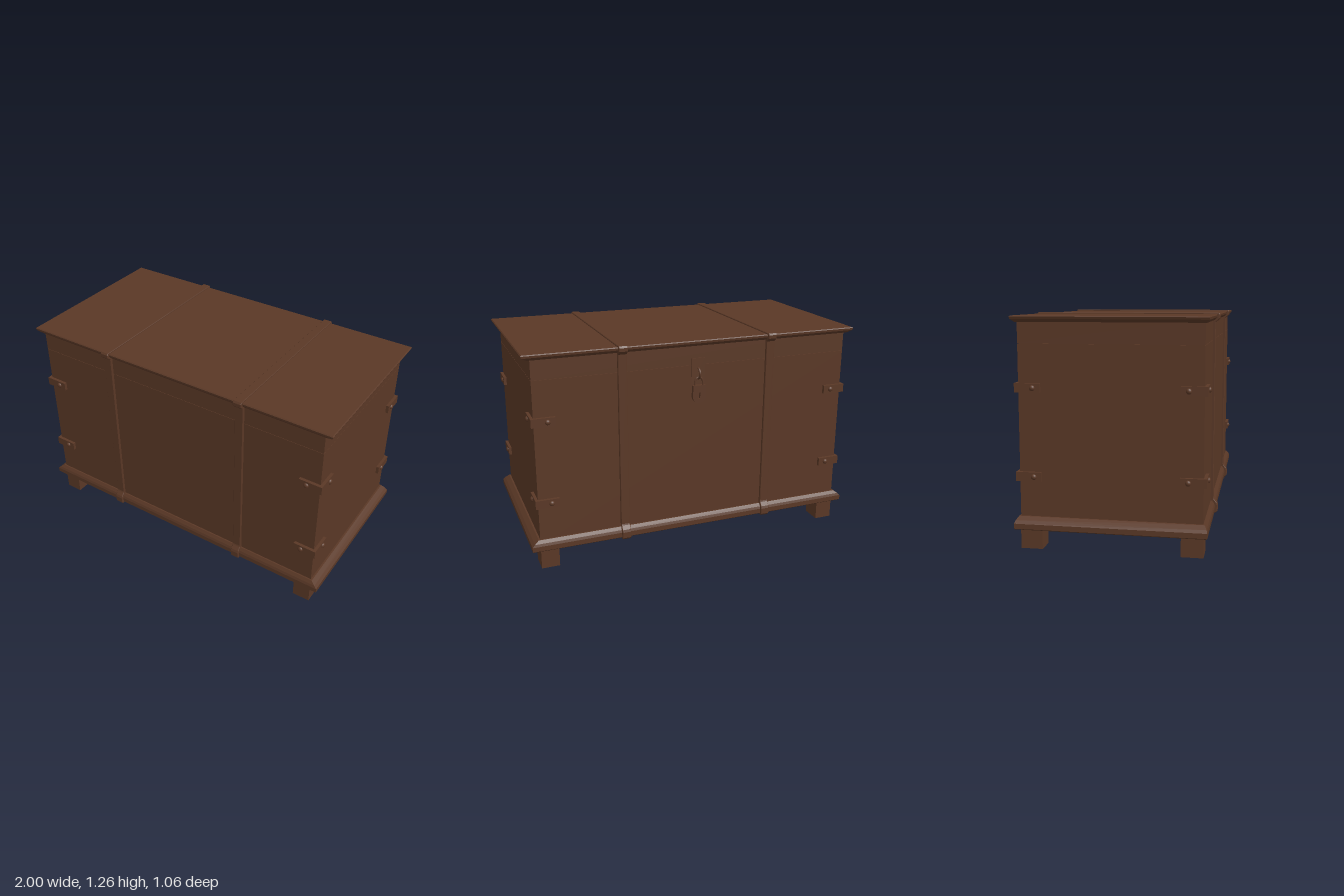
import * as THREE from 'three';

export function createModel() {
  const chest = new THREE.Group();
  chest.name = 'chest';
  const wood = new THREE.MeshStandardMaterial({ color: 0x5a3826 });
  wood.name = 'dark brown';

  function add(geometry, name, x = 0, y = 0, z = 0, parent = chest) {
    const mesh = new THREE.Mesh(geometry, wood);
    mesh.name = name;
    mesh.position.set(x, y, z);
    parent.add(mesh);
    return mesh;
  }

  // Box given by its lower and upper corners
  function block(name, x0, x1, y0, y1, z0, z1) {
    return add(new THREE.BoxGeometry(x1 - x0, y1 - y0, z1 - z0), name,
      (x0 + x1) / 2, (y0 + y1) / 2, (z0 + z1) / 2);
  }

  // Moulded slab: rectangles [y, half width, half depth] stacked upward
  function slab(levels) {
    const pos = [];
    const rings = levels.map(([y, w, d]) => [[-w, y, d], [w, y, d], [w, y, -d], [-w, y, -d]]);
    const quad = (a, b, c, d) => pos.push(...a, ...b, ...c, ...a, ...c, ...d);
    for (let i = 0; i < rings.length - 1; i++) {
      const lo = rings[i], hi = rings[i + 1];
      for (let k = 0; k < 4; k++) {
        const n = (k + 1) % 4;
        quad(lo[k], lo[n], hi[n], hi[k]);
      }
    }
    const b = rings[0], t = rings[rings.length - 1];
    quad(b[3], b[2], b[1], b[0]);
    quad(t[0], t[1], t[2], t[3]);
    const geometry = new THREE.BufferGeometry();
    geometry.setAttribute('position', new THREE.Float32BufferAttribute(pos, 3));
    geometry.computeVertexNormals();
    return geometry;
  }

  // Box, lid and mouldings, with a fine seam under the lid
  block('body', -0.95, 0.95, 0.15, 1.109, -0.492, 0.492);
  block('lidRim', -0.95, 0.95, 1.111, 1.24, -0.492, 0.492);
  block('seamCore', -0.945, 0.945, 1.1, 1.12, -0.487, 0.487);
  add(slab([[1.222, 0.965, 0.5], [1.238, 0.995, 0.515], [1.25, 1, 0.517], [1.255, 0.995, 0.512]]), 'lidTop');
  add(slab([[0.117, 0.995, 0.512], [0.122, 1, 0.517], [0.15, 1, 0.517], [0.165, 0.985, 0.512], [0.183, 0.96, 0.5]]), 'baseMoulding');

  // Feet
  for (const sx of [-1, 1]) {
    for (const sz of [-1, 1]) {
      add(new THREE.BoxGeometry(0.105, 0.13, 0.12), 'foot', sx * 0.8975, 0.065, sz * 0.435);
    }
  }

  // Straps wrapped all round, following the mouldings
  const half = [[0.523, 0.11], [0.531, 0.12], [0.531, 0.155], [0.526, 0.17], [0.51, 0.192],
    [0.507, 0.2], [0.507, 1.212], [0.516, 1.218], [0.53, 1.232], [0.531, 1.252], [0.524, 1.262]];
  const profile = [...half, ...half.map(([z, y]) => [-z, y]).reverse()];
  const strapShape = new THREE.Shape(profile.map(([z, y]) => new THREE.Vector2(z, y)));
  const strapGeometry = new THREE.ExtrudeGeometry(strapShape, {
    depth: 0.046, bevelEnabled: true, bevelThickness: 0.003, bevelSize: 0.003, bevelOffset: -0.003, bevelSegments: 1,
  });
  strapGeometry.translate(0, 0, -0.023);
  strapGeometry.rotateY(-Math.PI / 2);
  for (const x of [-0.45, 0.45]) add(strapGeometry, 'strap', x);

  // Riveted corner brackets
  const dome = new THREE.SphereGeometry(0.016, 14, 6, 0, Math.PI * 2, 0, Math.PI / 2);
  dome.scale(1, 0.8, 1);
  for (const sx of [-1, 1]) {
    for (const sz of [-1, 1]) {
      for (const y of [0.402, 0.878]) {
        const bracket = new THREE.Group();
        bracket.name = 'cornerBracket';
        chest.add(bracket);
        add(new THREE.BoxGeometry(0.137, 0.05, 0.03), 'bracketFace', sx * 0.8985, y, sz * 0.495, bracket);
        add(new THREE.BoxGeometry(0.03, 0.05, 0.139), 'bracketSide', sx * 0.952, y, sz * 0.4405, bracket);
        const face = add(dome, 'rivet', sx * 0.875, y, sz * 0.509, bracket);
        face.rotation.x = sz * Math.PI / 2;
        const side = add(dome, 'rivet', sx * 0.966, y, sz * 0.412, bracket);
        side.rotation.z = -sx * Math.PI / 2;
      }
    }
  }

  // Hasp plate and staple on the lock side
  block('haspPlate', -0.04, 0.04, 1.0, 1.15, -0.498, -0.49);
  const staple = add(new THREE.TorusGeometry(0.03, 0.007, 8, 24), 'staple', 0, 1.062, -0.494);
  staple.rotation.y = Math.PI / 2;

  // Padlock with a keyhole
  const lock = new THREE.Shape();
  lock.moveTo(-0.036, 0.995);
  lock.lineTo(-0.04, 0.93);
  lock.quadraticCurveTo(-0.036, 0.892, 0, 0.89);
  lock.quadraticCurveTo(0.036, 0.892, 0.04, 0.93);
  lock.lineTo(0.036, 0.995);
  lock.closePath();
  const keyhole = new THREE.Path();
  keyhole.absarc(0, 0.945, 0.008, -Math.PI / 4, Math.PI * 1.25, false);
  keyhole.lineTo(-0.005, 0.917);
  keyhole.lineTo(0.005, 0.917);
  keyhole.closePath();
  lock.holes.push(keyhole);
  add(new THREE.ExtrudeGeometry(lock, { depth: 0.02, bevelEnabled: false, curveSegments: 8 }), 'padlockBody', 0, 0, -0.518);
  const arch = [[-0.024, 0.99], [-0.024, 1.015], [-0.015, 1.034], [0, 1.041], [0.015, 1.034], [0.024, 1.015], [0.024, 0.99]];
  const curve = new THREE.CatmullRomCurve3(arch.map(([x, y]) => new THREE.Vector3(x, y, -0.508)));
  add(new THREE.TubeGeometry(curve, 24, 0.006, 8), 'padlockShackle');

  return chest;
}
